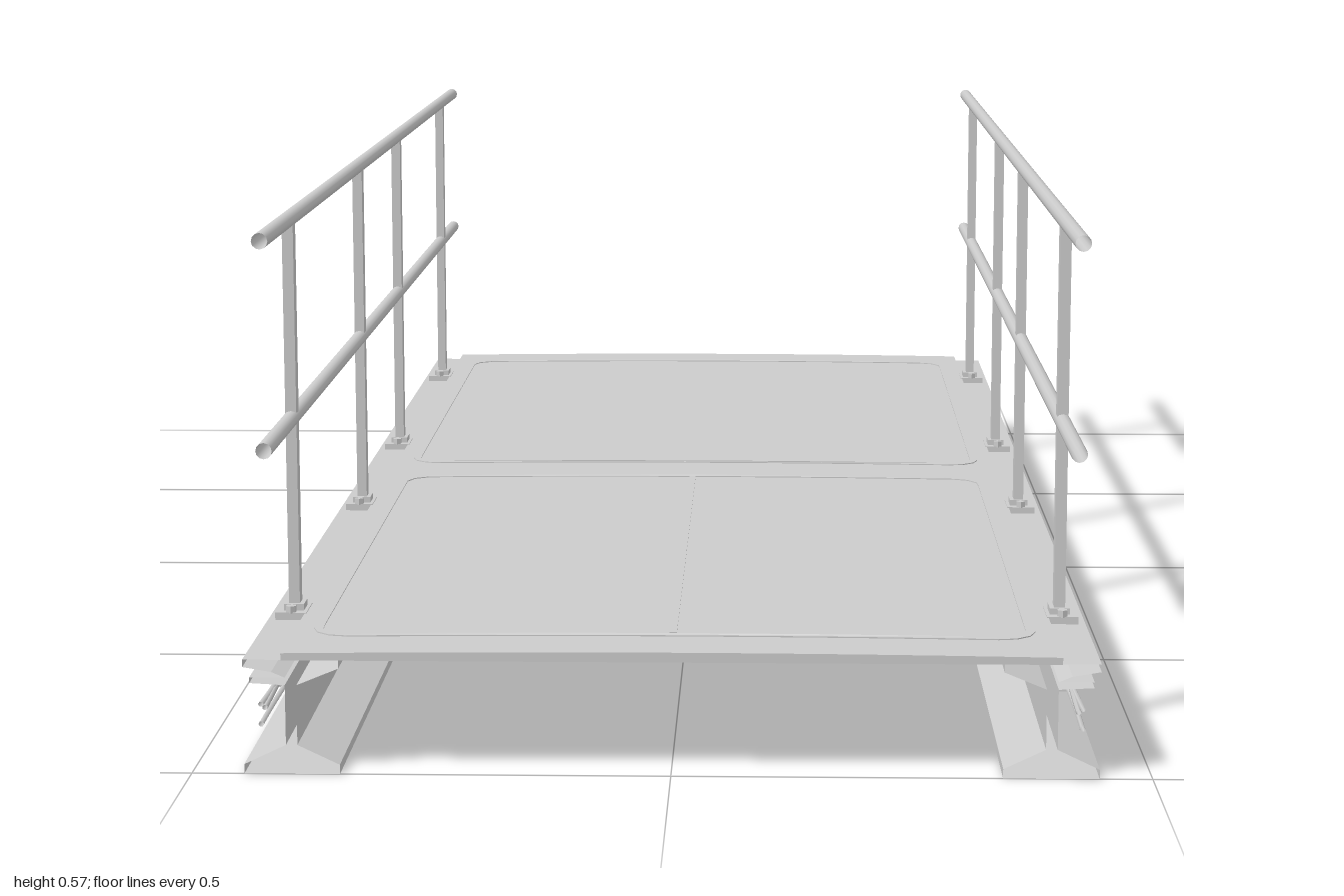
import * as THREE from 'three';

const grey = new THREE.MeshStandardMaterial({ color: 0xcccccc, flatShading: true, side: THREE.DoubleSide });
const smooth = new THREE.MeshStandardMaterial({ color: 0xcccccc, side: THREE.DoubleSide });

function add(parent, name, geometry, x = 0, y = 0, z = 0, material = grey) {
  const mesh = new THREE.Mesh(geometry, material);
  mesh.name = name;
  mesh.position.set(x, y, z);
  parent.add(mesh);
  return mesh;
}

const box = (w, h, d) => new THREE.BoxGeometry(w, h, d);

// Open-ended strip: an x,y outline drawn along the full length in z
function strip(points) {
  const pos = [];
  for (let i = 0; i < points.length - 1; i++) {
    const [ax, ay] = points[i], [bx, by] = points[i + 1];
    pos.push(ax, ay, 1, ax, ay, -1, bx, by, -1, ax, ay, 1, bx, by, -1, bx, by, 1);
  }
  const g = new THREE.BufferGeometry();
  g.setAttribute('position', new THREE.Float32BufferAttribute(pos, 3));
  g.computeVertexNormals();
  return g;
}

// Rounded rectangle outline
function rounded(x0, y0, x1, y1, r) {
  const s = new THREE.Shape();
  s.moveTo(x0 + r, y0).lineTo(x1 - r, y0).absarc(x1 - r, y0 + r, r, -Math.PI / 2, 0);
  s.lineTo(x1, y1 - r).absarc(x1 - r, y1 - r, r, 0, Math.PI / 2);
  s.lineTo(x0 + r, y1).absarc(x0 + r, y1 - r, r, Math.PI / 2, Math.PI);
  s.lineTo(x0, y0 + r).absarc(x0 + r, y0 + r, r, Math.PI, Math.PI * 1.5);
  return s;
}

const slots = [[-0.73, -0.28], [0.28, 0.73]];
const slotShape = ([a, b], grow = 0) => rounded(a - grow, 0.049 - grow, b + grow, 0.075 + grow, 0.012);

// Slight rise of the deck toward its centre line
const crown = x => 0.129 + 0.003 * (1 - (x / 0.405) ** 2);

function createDeck() {
  const deck = new THREE.Group();
  deck.name = 'deck';
  const profile = new THREE.Shape();
  profile.moveTo(-0.405, 0.1215).lineTo(0.405, 0.1215);
  for (let i = 0; i <= 12; i++) {
    const x = 0.405 - i * 0.0675;
    profile.lineTo(x, crown(x));
  }
  add(deck, 'deckPlate', new THREE.ExtrudeGeometry(profile, { depth: 2, bevelEnabled: false }), 0, 0, -1);

  // Raised rim around each of the two deck panels
  for (const s of [1, -1]) {
    const outer = rounded(-0.385, 0.045, 0.385, 0.93, 0.04);
    const inner = rounded(-0.375, 0.055, 0.375, 0.92, 0.03);
    const rim = new THREE.Shape(outer.getSpacedPoints(160));
    rim.holes.push(new THREE.Path(inner.getSpacedPoints(160)));
    const g = new THREE.ExtrudeGeometry(rim, { depth: 0.0016, bevelEnabled: false });
    g.rotateX(-Math.PI / 2);
    if (s > 0) g.rotateY(Math.PI);
    const p = g.attributes.position;
    for (let i = 0; i < p.count; i++) p.setY(i, p.getY(i) + crown(p.getX(i)) - 0.0004);
    g.computeVertexNormals();
    add(deck, 'panelRim', g);
  }
  add(deck, 'centreSeam', box(0.008, 0.0016, 0.86), 0, 0.1325, 0.485);
  return deck;
}

function createBeam() {
  const beam = new THREE.Group();
  beam.name = 'beam';
  add(beam, 'topFlange', strip([[0.389, 0.095], [0.345, 0.113], [0.345, 0.122], [0.445, 0.122],
    [0.445, 0.114], [0.415, 0.109], [0.401, 0.103]]));
  add(beam, 'ledge', strip([[0.401, 0.103], [0.438, 0.103], [0.438, 0.097], [0.401, 0.095]]));
  add(beam, 'bottomFlange', strip([[0.389, 0.031], [0.345, 0.01], [0.345, 0], [0.445, 0],
    [0.445, 0.01], [0.401, 0.031]]));

  // Web skins with two long slots
  const web = new THREE.Shape();
  web.moveTo(-1, 0.031).lineTo(1, 0.031).lineTo(1, 0.095).lineTo(-1, 0.095).closePath();
  for (const s of slots) web.holes.push(slotShape(s));
  for (const x of [0.389, 0.401]) {
    add(beam, 'web', new THREE.ShapeGeometry(web), x).rotation.y = -Math.PI / 2;
  }

  // Collars lining the slots
  for (const s of slots) {
    const collar = slotShape(s, 0.004);
    collar.holes.push(slotShape(s));
    const g = new THREE.ExtrudeGeometry(collar, { depth: 0.034, bevelEnabled: false });
    add(beam, 'slotCollar', g, 0.417).rotation.y = -Math.PI / 2;
  }

  // Sagging cables along the outer face, held by C-shaped clips
  [0.055, 0.067, 0.08].forEach((y, k) => {
    const pts = [];
    for (let i = 0; i <= 40; i++) {
      const z = -1 + i / 20;
      pts.push(new THREE.Vector3(0.425 + 0.003 * Math.sin(z * 9 + k * 2),
        y + 0.006 * Math.sin(z * (6 + k) + k * 1.7), z));
    }
    add(beam, 'cable', new THREE.TubeGeometry(new THREE.CatmullRomCurve3(pts), 100, 0.003, 6), 0, 0, 0, smooth);
  });
  for (const z of [-0.8, 0.04, 0.8]) {
    add(beam, 'clipBack', box(0.004, 0.05, 0.014), 0.435, 0.068, z);
    for (const y of [0.044, 0.092]) add(beam, 'clipArm', box(0.036, 0.004, 0.014), 0.419, y, z);
  }
  return beam;
}

function createRailing() {
  const railing = new THREE.Group();
  railing.name = 'railing';
  for (const y of [0.342, 0.559]) {
    const g = new THREE.CylinderGeometry(0.0085, 0.0085, 2, 12, 1, true);
    g.rotateX(Math.PI / 2);
    add(railing, 'rail', g, 0.418, y, 0, smooth);
  }
  for (const z of [-0.8, -0.21, 0.21, 0.8]) {
    add(railing, 'post', box(0.012, 0.43, 0.018), 0.418, 0.34, z);
    add(railing, 'postFoot', box(0.034, 0.008, 0.05), 0.42, 0.126, z);
    add(railing, 'postCollar', box(0.022, 0.01, 0.028), 0.418, 0.132, z);
    for (const s of [-1, 1]) {
      add(railing, 'footBolt', new THREE.CylinderGeometry(0.006, 0.006, 0.008, 6), 0.42, 0.133, z + s * 0.02);
    }
  }
  return railing;
}

export function createModel() {
  const model = new THREE.Group();
  model.name = 'footbridge';
  model.add(createDeck());
  // Beam and railing, mirrored for the other side
  for (const s of [1, -1]) {
    const side = new THREE.Group();
    side.name = s > 0 ? 'leftSide' : 'rightSide';
    side.add(createBeam(), createRailing());
    side.scale.x = s;
    model.add(side);
  }
  return model;
}
